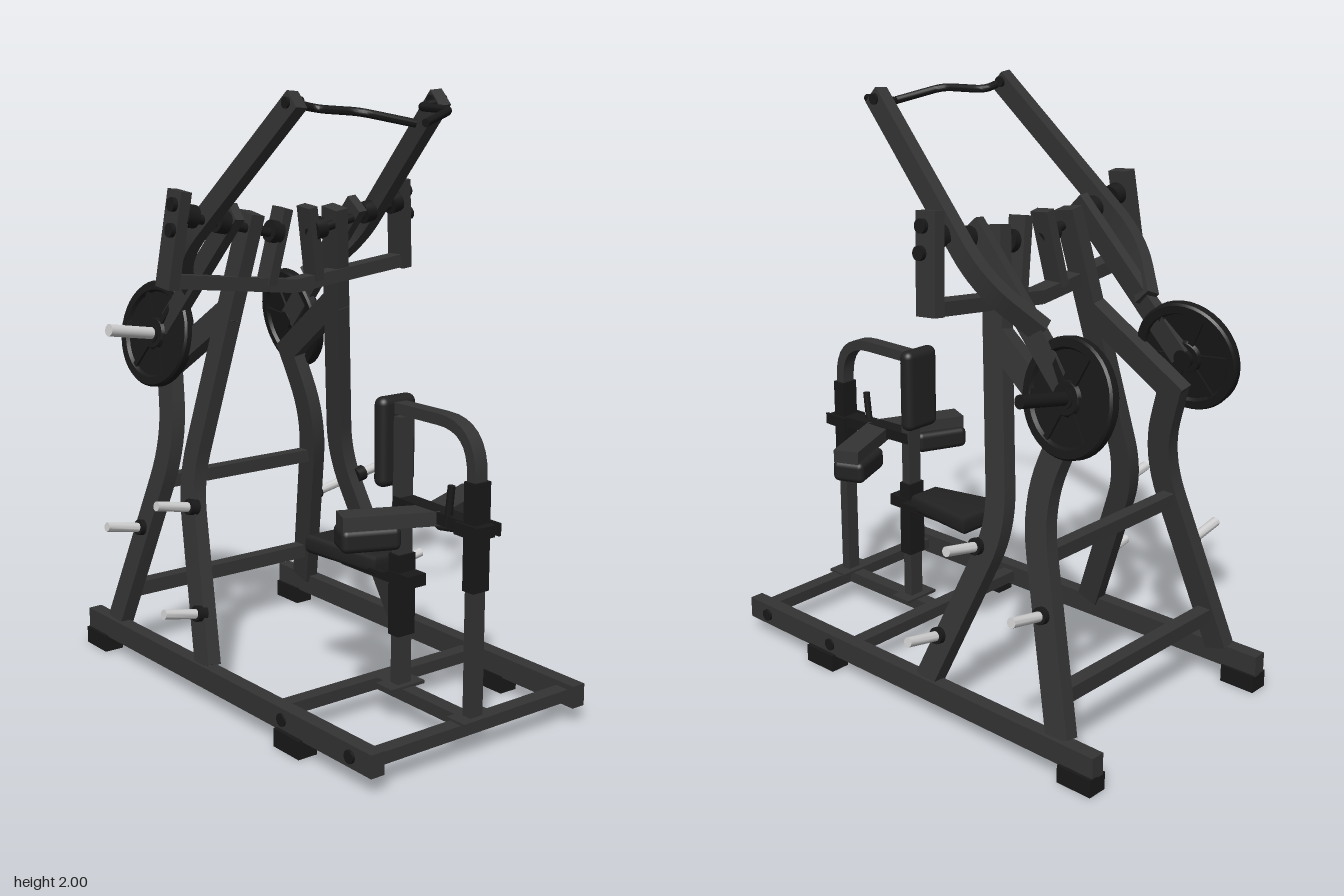
import * as THREE from 'three';
import { toCreasedNormals } from 'three/addons/utils/BufferGeometryUtils.js';
import { RoundedBoxGeometry } from 'three/addons/geometries/RoundedBoxGeometry.js';

const material = (name, color) => {
  const m = new THREE.MeshStandardMaterial({ color });
  m.name = name;
  return m;
};
const V = (x, y, z) => new THREE.Vector3(x, y, z);

// Round the inner corners of a polyline with short quadratic bends.
function roundCorners(pts, r) {
  const out = [pts[0]];
  for (let i = 1; i < pts.length - 1; i++) {
    const p = pts[i];
    const toward = (q) => p.clone().add(q.clone().sub(p).setLength(Math.min(r, p.distanceTo(q) * 0.48)));
    out.push(...new THREE.QuadraticBezierCurve3(toward(pts[i - 1]), p, toward(pts[i + 1])).getPoints(8));
  }
  out.push(pts[pts.length - 1]);
  return out;
}

// Sweep a capped box (n = 4) or round (n > 4) section along points; w runs along the side vector.
function sweep(points, w, h, side, r = 0, n = 4) {
  const pts = r ? roundCorners(points, r) : points;
  const pos = [], idx = [], last = pts.length - 1;
  pts.forEach((p, i) => {
    const t = pts[Math.min(i + 1, last)].clone().sub(pts[Math.max(i - 1, 0)]).normalize();
    const s = side.clone().addScaledVector(t, -side.dot(t)).normalize();
    const u = t.clone().cross(s);
    for (let j = 0; j < n; j++) {
      const a = ((j + 0.5) / n) * Math.PI * 2;
      const k = n === 4 ? Math.SQRT1_2 : 0.5;
      const q = p.clone().addScaledVector(s, Math.cos(a) * w * k).addScaledVector(u, Math.sin(a) * h * k);
      pos.push(q.x, q.y, q.z);
    }
  });
  for (let i = 0; i < last; i++) {
    for (let j = 0; j < n; j++) {
      const a = i * n + j, b = i * n + ((j + 1) % n);
      idx.push(a, b, b + n, a, b + n, a + n);
    }
  }
  for (let j = 1; j < n - 1; j++) {
    idx.push(0, j + 1, j, last * n, last * n + j, last * n + j + 1);
  }
  const g = new THREE.BufferGeometry();
  g.setAttribute('position', new THREE.Float32BufferAttribute(pos, 3));
  g.setIndex(idx);
  return toCreasedNormals(g, 0.8);
}

export function createModel() {
  const frame = material('frame charcoal', 0x343434);
  const black = material('black rubber', 0x191919);
  const padMat = material('pad vinyl', 0x222222);
  const steel = material('bare steel', 0xcfcfcf);

  const machine = new THREE.Group();
  machine.name = 'machine';
  machine.rotation.y = 0.022;
  machine.position.z = -0.006;

  const add = (name, geo, mat, parent = machine) => {
    const m = new THREE.Mesh(geo, mat);
    m.name = name;
    parent.add(m);
    return m;
  };
  const Z = V(0, 0, 1), X = V(1, 0, 0);
  const bar = (name, pts, w, h, side = Z, r = 0, mat = frame) => add(name, sweep(pts, w, h, side, r), mat);
  const rod = (name, pts, d, mat = frame, r = 0, side = V(0.13, 1, 0.21)) =>
    add(name, sweep(pts, d, d, side, r, 14), mat);
  const box = (name, x, y, z, w, h, d, mat = frame) => {
    const m = add(name, new THREE.BoxGeometry(w, h, d), mat);
    m.position.set(x, y, z);
    return m;
  };

  const leanZ = (y) => 0.435 - 0.165 * y;

  for (const s of [1, -1]) {
    const P = (x, y, z) => V(x, y, z * s);
    const L = (x, y, out = 0) => P(x, y, leanZ(y) + out);
    const leanSide = P(0, 0.165, 1).normalize();

    // Floor rail, feet and rail bolts
    bar('baseRail', [P(-0.805, 0.092, 0.43), P(0.8, 0.092, 0.417)], 0.05, 0.074);
    box('rearFoot', -0.74, 0.03, 0.43 * s, 0.13, 0.06, 0.07, black);
    box('frontFoot', 0.41, 0.03, 0.425 * s, 0.13, 0.06, 0.07, black);
    for (const x of [0.37, 0.705]) rod('railBolt', [P(x, 0.092, 0.43), P(x, 0.092, 0.452)], 0.042, black);

    // Bent uprights leaning inward, and the strut joining them
    bar('rearUpright', [L(-0.65, 0.12), L(-0.445, 0.8), L(-0.54, 1.08)], 0.05, 0.085, leanSide, 0.16);
    bar('frontUpright', [L(-0.085, 0.12), L(-0.315, 0.69), L(-0.155, 1.6)], 0.05, 0.08, leanSide, 0.12);
    bar('uprightStrut', [L(-0.56, 1.03), L(-0.2, 1.28)], 0.05, 0.085, leanSide);

    // Storage horns with dark collars
    for (const [x, y] of [[-0.54, 0.48], [-0.25, 0.615], [-0.13, 0.285]]) {
      rod('storageCollar', [L(x, y, 0.01), L(x, y + 0.007, 0.045)], 0.055, black);
      rod('storageHorn', [L(x, y + 0.005, 0.04), L(x, y + 0.03, 0.172)], 0.033, steel);
    }

    // Top cross beam half, outer bracket, inner bracket and pivot axle
    bar('topBeam', [P(-0.175, 1.345, 0), P(-0.175, 1.4, 0.49)], 0.06, 0.045, X);
    bar('outerBracket', [P(-0.18, 1.375, 0.485), P(-0.15, 1.685, 0.45)], 0.04, 0.08);
    bar('innerBracket', [P(-0.175, 1.36, 0.1), P(-0.15, 1.61, 0.05)], 0.035, 0.07);
    rod('pivotAxle', [P(-0.145, 1.61, 0.47), P(-0.145, 1.52, 0.05)], 0.032, black);
    for (const [z, y] of [[0.42, 1.6], [0.3, 1.574], [0.09, 1.53]]) {
      rod('pivotBearing', [P(-0.145, y, z - 0.02), P(-0.145, y + 0.008, z + 0.02)], 0.075, black);
    }
    for (const [y, z] of [[1.64, 0.455], [1.56, 0.464]]) {
      rod('bracketBolt', [P(-0.145, y, z), P(-0.145, y + 0.004, z + 0.035)], 0.045, black);
    }

    // Lever, swinging arm and bent hand grip
    bar('weightLever', [P(-0.13, 1.61, 0.25), P(-0.55, 1.16, 0.275)], 0.035, 0.075, leanSide);
    bar('swingArm', [P(0.245, 1.97, 0.285), P(-0.28, 1.475, 0.37), P(-0.42, 1.33, 0.255)],
      0.045, 0.068, Z, 0.12);
    rod('armEndBolt', [P(0.225, 1.96, 0.255), P(0.225, 1.96, 0.318)], 0.035, black);
    rod('handGrip', [P(0.24, 1.955, 0.28), P(0.235, 1.94, 0.2), P(0.41, 1.935, 0.18), P(0.475, 1.9, 0.02)],
      0.026, black, 0.04, V(0, 1, 0));

    // Weight plate with rim, hub and ribs, on its loading horn
    const plate = new THREE.Group();
    plate.name = 'weightPlate';
    plate.position.set(-0.56, 1.16, 0.292 * s);
    plate.quaternion.setFromUnitVectors(V(0, 1, 0), P(0.09, 0.17, 1).normalize());
    machine.add(plate);
    const profile = [[0, -0.02], [0.05, -0.02], [0.056, -0.008], [0.145, -0.008], [0.152, -0.02], [0.178, -0.02],
      [0.184, -0.012], [0.184, 0.012], [0.178, 0.02], [0.152, 0.02], [0.145, 0.008], [0.056, 0.008],
      [0.05, 0.02], [0, 0.02]].map(([x, y]) => new THREE.Vector2(x, y));
    add('plateDisc', toCreasedNormals(new THREE.LatheGeometry(profile, 40), 0.4), black, plate);
    for (let i = 0; i < 6; i++) {
      const a = (i / 6) * Math.PI * 2;
      const rib = add('plateRib', new THREE.BoxGeometry(0.11, 0.032, 0.02), black, plate);
      rib.position.set(Math.cos(a) * 0.1, 0, Math.sin(a) * 0.1);
      rib.rotation.y = -a;
    }
    const horn = add('loadingHorn', new THREE.CylinderGeometry(0.021, 0.021, 0.21, 18), s > 0 ? steel : black, plate);
    horn.position.y = 0.1;
    const collar = add('hornCollar', new THREE.CylinderGeometry(0.032, 0.032, 0.06, 18), black, plate);
    collar.position.y = -0.005;

    // Thigh hold-down: angled arm over a padded block
    bar('thighArm', [P(0.57, 0.715, 0), P(0.445, 0.715, 0.28)], 0.09, 0.045, X);
    const pad = add('thighPad', new RoundedBoxGeometry(0.115, 0.075, 0.19, 3, 0.02), padMat);
    pad.position.set(0.475, 0.66, 0.195 * s);
    pad.rotation.y = -0.4 * s;
    box('adjusterCheek', 0.755, 0.715, 0.045 * s, 0.1, 0.04, 0.01, black);
  }

  // Cross members
  bar('lowerRung', [V(-0.615, 0.24, -0.39), V(-0.615, 0.24, 0.39)], 0.05, 0.05, X);
  bar('upperRung', [V(-0.5, 0.65, -0.32), V(-0.5, 0.65, 0.32)], 0.045, 0.045, X);
  for (const x of [0.3, 0.75]) bar('floorCrossbar', [V(x, 0.092, -0.41), V(x, 0.092, 0.41)], 0.05, 0.04, X);
  bar('floorSpine', [V(0.3, 0.092, 0), V(0.75, 0.092, 0)], 0.05, 0.04);
  for (const x of [0.41, 0.75]) box('postFootPlate', x, 0.115, 0, 0.08, 0.01, 0.14);

  // Seat post, hooped rear post and their sliding sleeves
  bar('seatPost', [V(0.412, 0.11, 0), V(0.412, 1.0, 0)], 0.055, 0.036);
  bar('hoopPost', [V(0.38, 1.025, 0), V(0.75, 1.025, 0), V(0.75, 0.11, 0)], 0.05, 0.036, Z, 0.15);
  box('seatSleeve', 0.412, 0.42, 0, 0.05, 0.27, 0.07, black);
  box('hoopSleeve', 0.752, 0.69, 0, 0.048, 0.34, 0.065, black);

  // Tapered seat on its bracket
  const outline = new THREE.Shape([[0.065, -0.09], [0.335, -0.045], [0.335, 0.045], [0.065, 0.09]]
    .map(([x, y]) => new THREE.Vector2(x, y)));
  const seatGeo = new THREE.ExtrudeGeometry(outline,
    { depth: 0.03, bevelEnabled: true, bevelThickness: 0.018, bevelSize: 0.018, bevelSegments: 3 });
  seatGeo.rotateX(-Math.PI / 2);
  const seat = add('seat', toCreasedNormals(seatGeo, 0.6), padMat);
  seat.position.y = 0.503;
  seat.rotation.z = -0.035;
  bar('seatBracket', [V(0.15, 0.478, 0), V(0.485, 0.478, 0)], 0.075, 0.04, Z, 0, black);
  box('seatPlate', 0.35, 0.49, 0, 0.09, 0.012, 0.13, black);

  // Chest pad
  const chest = add('chestPad', new RoundedBoxGeometry(0.055, 0.29, 0.145, 4, 0.025), padMat);
  chest.position.set(0.37, 0.915, 0);

  // Thigh pad carrier with its release lever
  bar('thighCarrier', [V(0.4, 0.725, 0), V(0.8, 0.712, 0)], 0.06, 0.038, Z, 0, black);
  rod('releaseLever', [V(0.645, 0.7, 0.02), V(0.66, 0.83, 0.02)], 0.024, black, 0, Z);

  const model = new THREE.Group();
  model.name = 'pulldownMachine';
  model.add(machine);
  return model;
}
